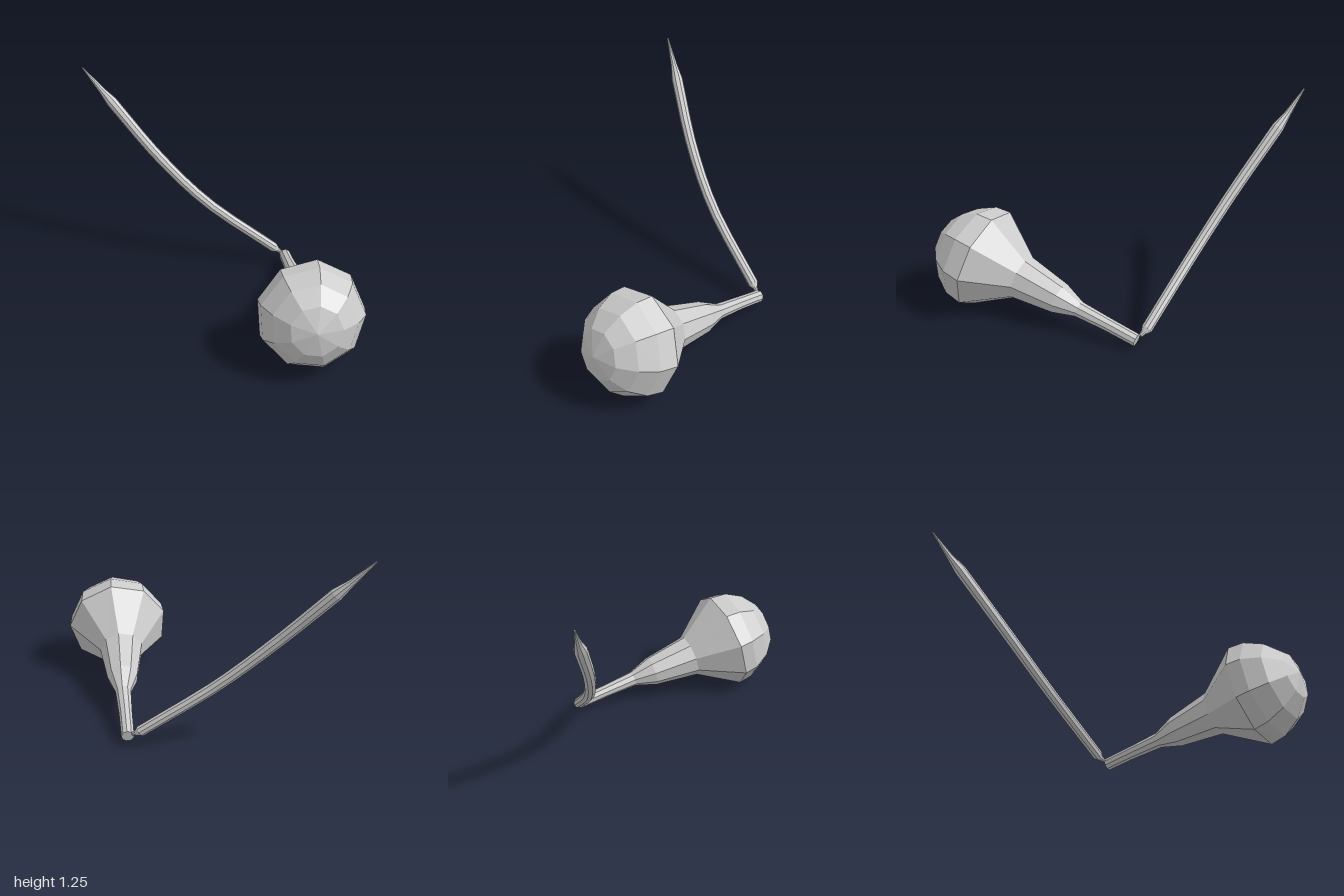
import * as THREE from 'three';

const SIDES = 9;
const material = new THREE.MeshStandardMaterial({ color: 0xcccccc, flatShading: true });

// Lofts a closed, faceted skin through rings given as [x, y, z, radius]
function loft(name, rings) {
  const centres = rings.map(r => new THREE.Vector3(r[0], r[1], r[2]));
  const last = rings.length - 1;
  const positions = [];
  const indices = [];
  rings.forEach((ring, i) => {
    const t = centres[Math.min(i + 1, last)].clone().sub(centres[Math.max(i - 1, 0)]).normalize();
    const u = new THREE.Vector3(1, 0, 0).addScaledVector(t, -t.x).normalize();
    const v = t.clone().cross(u);
    for (let j = 0; j < SIDES; j++) {
      const a = (j / SIDES) * Math.PI * 2;
      const p = centres[i].clone()
        .addScaledVector(u, Math.cos(a) * ring[3])
        .addScaledVector(v, Math.sin(a) * ring[3]);
      positions.push(p.x, p.y, p.z);
    }
  });
  // End centres for the caps
  const start = positions.length / 3;
  positions.push(...centres[0].toArray(), ...centres[last].toArray());
  for (let j = 0; j < SIDES; j++) {
    const k = (j + 1) % SIDES;
    for (let i = 0; i < last; i++) {
      const a = i * SIDES + j, b = i * SIDES + k;
      indices.push(a, b, b + SIDES, a, b + SIDES, a + SIDES);
    }
    indices.push(start, k, j, start + 1, last * SIDES + j, last * SIDES + k);
  }
  const geometry = new THREE.BufferGeometry();
  geometry.setAttribute('position', new THREE.Float32BufferAttribute(positions, 3));
  geometry.setIndex(indices);
  geometry.computeVertexNormals();
  const mesh = new THREE.Mesh(geometry, material);
  mesh.name = name;
  return mesh;
}

export function createModel() {
  const group = new THREE.Group();
  group.name = 'clubAndSpike';

  // Club: slim handle, flaring neck, then the domed head along its tilted axis
  const club = [
    [0.53, 0.07, -0.32, 0.038],
    [0.495, 0.115, -0.14, 0.04],
    [0.46, 0.16, 0.05, 0.048],
    [0.43, 0.19, 0.18, 0.095],
    [0.37, 0.25, 0.44, 0.135],
  ];
  const axis = new THREE.Vector3(-0.22, 0.22, 0.95).normalize();
  const dome = [[0, 0.314], [0.1, 0.302], [0.205, 0.243], [0.288, 0.148], [0.325, 0.001]];
  for (const [height, radius] of dome) {
    const c = new THREE.Vector3(0.33, 0.313, 0.685).addScaledVector(axis, height);
    club.push([c.x, c.y, c.z, radius]);
  }
  group.add(loft('club', club));

  // Spike: pinched joint, curved shaft, then a slender point
  const path = new THREE.CatmullRomCurve3([
    [0.465, 0.115, -0.36], [0.05, 0.432, -0.525], [-0.227, 0.725, -0.683], [-0.478, 1.055, -0.875],
  ].map(p => new THREE.Vector3(...p)));
  const spike = [[0.505, 0.088, -0.335, 0.012], [0.487, 0.1, -0.347, 0.016]];
  path.getPoints(10).forEach((p, i) => spike.push([p.x, p.y, p.z, 0.033 + 0.0004 * i]));
  spike.push([-0.533, 1.125, -0.918, 0.021], [-0.635, 1.26, -0.992, 0.005]);
  group.add(loft('spike', spike));

  return group;
}
